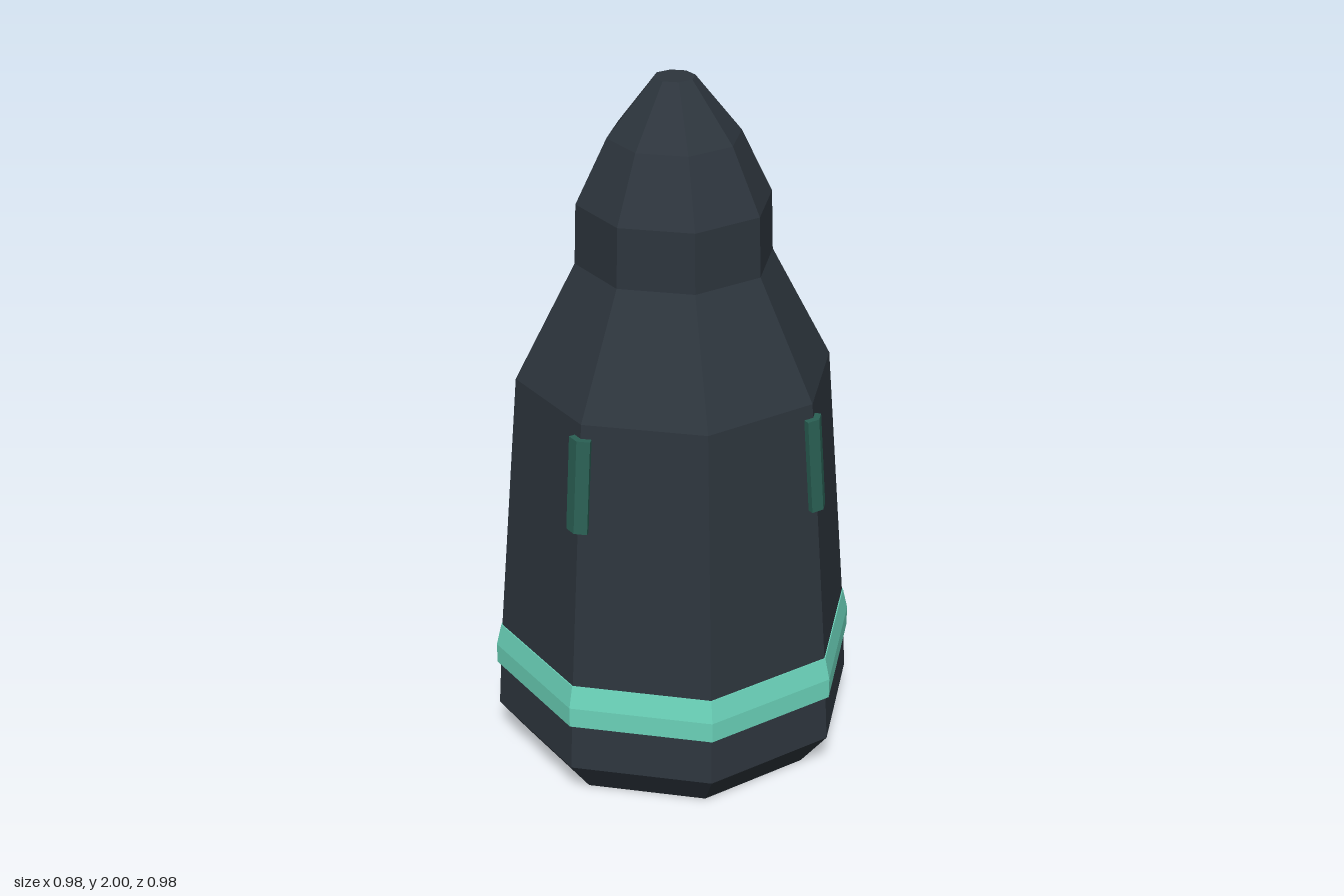
import * as THREE from 'three';

const SIDES = 8;
const HALF = Math.PI / SIDES;
const K = 1 / Math.cos(HALF); // flat-to-centre distance -> corner radius

// Octagonal lathe with flats facing the axes; profile is [flat distance, y]
function octagon(profile, material, name) {
  const pts = profile.map(([d, y]) => new THREE.Vector2(d * K, y));
  const geo = new THREE.LatheGeometry(pts, SIDES, HALF).toNonIndexed();
  geo.computeVertexNormals();
  const mesh = new THREE.Mesh(geo, material);
  mesh.name = name;
  return mesh;
}

// V-shaped strip that wraps one corner and leans with the tapered wall
function stripGeometry(bottom, top, wallDistance, slope) {
  const arm = 0.03, out = 0.018, sink = 0.004;
  const c = Math.cos(HALF), s = Math.sin(HALF);
  const ex = arm * c, ey = -arm * s;
  const at = (x, y, off) => [x + Math.sign(x) * off * s, y + off * (x ? c : K)];
  const outline = [
    at(-ex, ey, -sink), at(0, 0, -sink), at(ex, ey, -sink),
    at(ex, ey, out), at(0, 0, out), at(-ex, ey, out),
  ].map(([x, y]) => new THREE.Vector2(x, y));
  const geo = new THREE.ExtrudeGeometry(new THREE.Shape(outline), { depth: top - bottom, bevelEnabled: false });
  geo.rotateX(Math.PI / 2).translate(0, top, 0);
  const p = geo.attributes.position;
  for (let i = 0; i < p.count; i++) {
    p.setZ(i, p.getZ(i) + (wallDistance - (p.getY(i) - bottom) * slope) * K);
  }
  geo.computeVertexNormals();
  return geo;
}

export function createModel() {
  const model = new THREE.Group();
  model.name = 'bullet';
  const dark = new THREE.MeshStandardMaterial({ color: 0x2d353d });
  dark.name = 'dark slate';
  const mint = new THREE.MeshStandardMaterial({ color: 0x6bd3ba });
  mint.name = 'mint';
  const green = new THREE.MeshStandardMaterial({ color: 0x2a6054 });
  green.name = 'deep green';

  // Closed body: chamfered foot, tapered wall, shoulder, neck and nose
  model.add(octagon([
    [0, 0], [0.41, 0], [0.487, 0.11], [0.472, 0.375], [0.413, 1.16],
    [0.255, 1.49], [0.25, 1.66], [0.17, 1.84], [0.052, 2], [0, 2],
  ], dark, 'body'));

  // Raised band around the base
  model.add(octagon([
    [0.47, 0.25], [0.489, 0.25], [0.489, 0.31], [0.475, 0.375], [0.465, 0.375],
  ], mint, 'baseBand'));

  // Strips on every other corner
  const geo = stripGeometry(0.85, 1.12, 0.436, 0.075);
  for (let i = 0; i < 4; i++) {
    const strip = new THREE.Mesh(geo, green);
    strip.name = 'cornerStrip' + (i + 1);
    strip.rotation.y = HALF + i * Math.PI / 2;
    model.add(strip);
  }
  return model;
}
